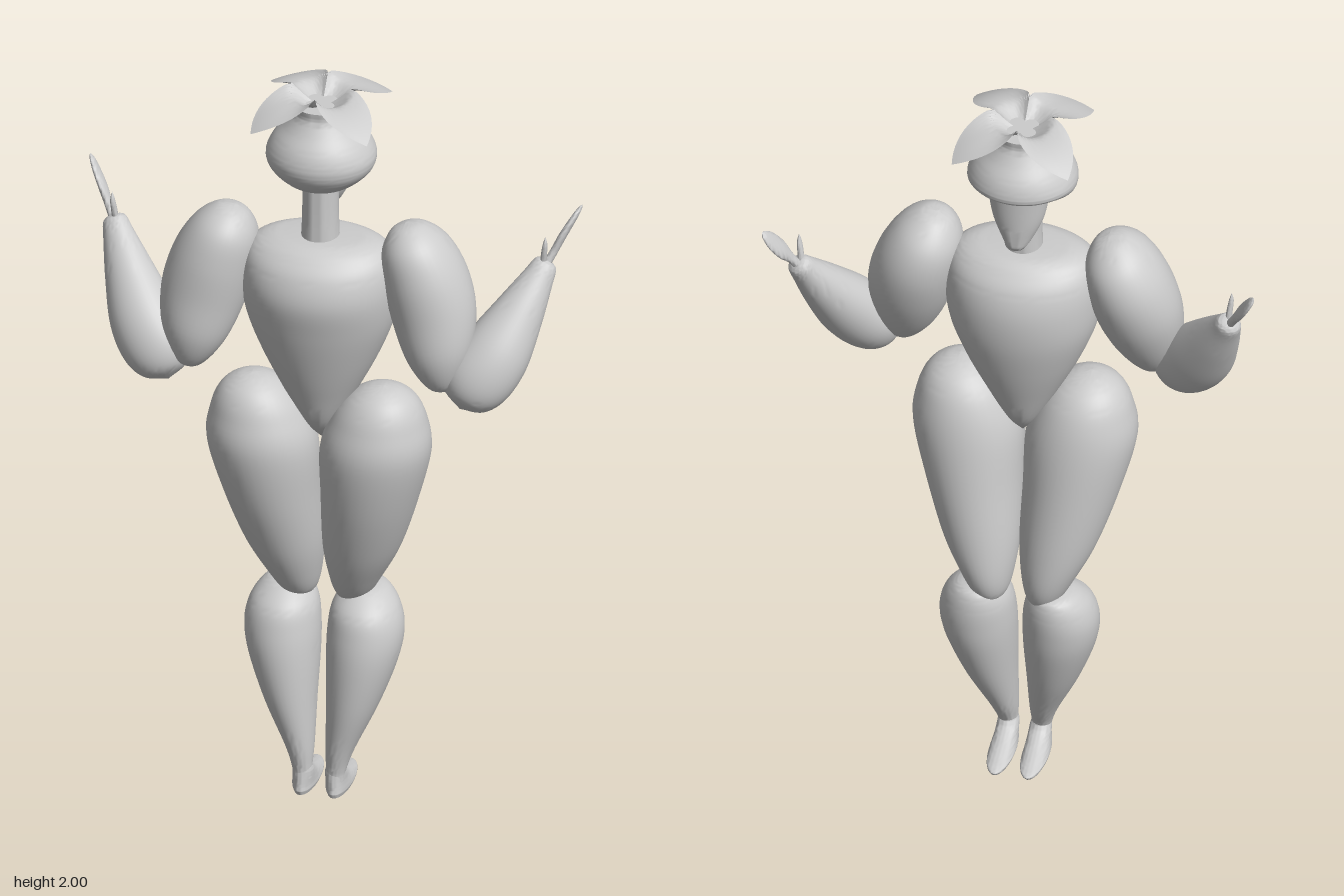
import * as THREE from 'three';
import { toCreasedNormals } from 'three/addons/utils/BufferGeometryUtils.js';

const material = new THREE.MeshStandardMaterial({ color: 0xcccccc });
const thin = new THREE.MeshStandardMaterial({ color: 0xcccccc, side: THREE.DoubleSide });

// Smooth loft through rows [x, y, z, radiusA, radiusB], listed from bottom to top.
// The rings are ellipses perpendicular to axis; side = -1 mirrors the part in x.
function loft(rows, { axis = [0, 1, 0], side = 1, seg = 36, steps = 6, warp = null } = {}) {
  const centres = new THREE.CatmullRomCurve3(
    rows.map(([x, y, z]) => new THREE.Vector3(x * side, y, z)), false, 'catmullrom');
  const radii = new THREE.CatmullRomCurve3(
    rows.map(r => new THREE.Vector3(r[3], r[4], 0)), false, 'catmullrom');
  const dir = new THREE.Vector3(axis[0] * side, axis[1], axis[2]).normalize();
  const turn = new THREE.Quaternion().setFromUnitVectors(new THREE.Vector3(0, 1, 0), dir);

  const rings = [];
  const n = (rows.length - 1) * steps;
  for (let i = 0; i <= n; i++) {
    const r = radii.getPoint(i / n);
    rings.push([centres.getPoint(i / n), Math.max(r.x, 0), Math.max(r.y, 0)]);
  }
  // close both ends
  rings.unshift([rings[0][0], 0, 0]);
  rings.push([rings[rings.length - 1][0], 0, 0]);

  const pos = [], index = [], p = new THREE.Vector3();
  rings.forEach(([c, a, b], i) => {
    for (let j = 0; j < seg; j++) {
      const t = (j / seg) * Math.PI * 2;
      p.set(Math.cos(t) * a, 0, Math.sin(t) * b).applyQuaternion(turn).add(c);
      if (warp) warp(p);
      pos.push(p.x, p.y, p.z);
      if (i === rings.length - 1) continue;
      const k = (j + 1) % seg, q = i * seg, up = q + seg;
      if (rings[i][1] > 0) index.push(q + j, up + j, q + k);
      if (rings[i + 1][1] > 0) index.push(q + k, up + j, up + k);
    }
  });
  const geo = new THREE.BufferGeometry();
  geo.setAttribute('position', new THREE.Float32BufferAttribute(pos, 3));
  geo.setIndex(index);
  return toCreasedNormals(geo, 0.9);
}

// Four-petalled crown: a polar surface that droops towards the diagonal tips
function crownGeometry() {
  const seg = 96, rows = 16, pos = [], index = [];
  for (let i = 0; i <= rows; i++) {
    for (let j = 0; j < seg; j++) {
      const a = (j / seg) * Math.PI * 2;
      const w = Math.asin(Math.abs(Math.sin(2 * a))) / (Math.PI / 2);
      const r = (0.075 + 0.137 * Math.pow(w, 0.85)) * i / rows;
      const bowl = r < 0.08 ? 1.94 + 0.037 * Math.pow(r / 0.08, 1.5)
        : 1.977 - 3.1 * (r - 0.08) ** 2;
      const crest = 0.026 * Math.pow(1 - w, 3) * Math.min(1, r / 0.075);
      pos.push(r * Math.cos(a), bowl + crest, r * Math.sin(a));
      if (i === rows) continue;
      const k = (j + 1) % seg, q = i * seg, o = q + seg;
      if (i > 0) index.push(q + j, q + k, o + j);
      index.push(q + k, o + k, o + j);
    }
  }
  const geo = new THREE.BufferGeometry();
  geo.setAttribute('position', new THREE.Float32BufferAttribute(pos, 3));
  geo.setIndex(index);
  return toCreasedNormals(geo, 0.9);
}

export function createModel() {
  const model = new THREE.Group();
  model.name = 'figure';
  const add = (name, geo, mat = material, parent = model) => {
    const mesh = new THREE.Mesh(geo, mat);
    mesh.name = name;
    parent.add(mesh);
  };

  // Torso tapering to the waist
  add('torso', loft([
    [0, 1.0, 0, 0, 0], [0, 1.06, 0.005, 0.045, 0.055], [0, 1.16, 0.005, 0.1, 0.097],
    [0, 1.26, 0.005, 0.15, 0.13], [0, 1.36, 0.007, 0.188, 0.155], [0, 1.45, 0.013, 0.2, 0.165],
    [0, 1.52, 0.013, 0.195, 0.148], [0, 1.562, 0.012, 0.172, 0.115],
    [0, 1.582, 0.01, 0.13, 0.085], [0, 1.587, 0.01, 0.08, 0.06],
  ], { seg: 48 }));

  // Neck, face and rounded hair whose rim lifts over the face
  add('neck', loft([
    [0, 1.55, 0.012, 0.05, 0.055], [0, 1.65, 0.01, 0.046, 0.055], [0, 1.78, 0.01, 0.046, 0.055],
  ]));
  add('face', loft([
    [0, 1.623, -0.075, 0, 0], [0, 1.635, -0.073, 0.022, 0.022], [0, 1.67, -0.058, 0.045, 0.042],
    [0, 1.72, -0.05, 0.066, 0.053], [0, 1.79, -0.045, 0.08, 0.06],
  ]));
  add('hair', loft([
    [0, 1.725, 0.01, 0, 0], [0, 1.733, 0.008, 0.065, 0.065], [0, 1.752, 0.003, 0.103, 0.1],
    [0, 1.785, 0, 0.134, 0.127], [0, 1.82, 0, 0.14, 0.133], [0, 1.86, 0, 0.122, 0.12],
    [0, 1.9, 0, 0.09, 0.09], [0, 1.93, 0, 0.072, 0.072], [0, 1.955, 0, 0.073, 0.073],
  ], {
    seg: 48,
    warp: p => {
      const front = THREE.MathUtils.smoothstep(-p.z, -0.02, 0.1);
      if (p.y < 1.82) p.y += (1.82 - p.y) * 0.5 * front;
    },
  }));
  add('petalCrown', crownGeometry(), thin);

  // Paired limbs
  for (const side of [1, -1]) {
    const label = side > 0 ? 'left' : 'right';
    const arm = new THREE.Group(), leg = new THREE.Group();
    arm.name = label + 'Arm';
    leg.name = label + 'Leg';
    model.add(arm, leg);

    add('upperArm', loft([
      [0.335, 1.2, 0.07, 0, 0], [0.33, 1.225, 0.068, 0.042, 0.045], [0.318, 1.3, 0.055, 0.085, 0.085],
      [0.298, 1.4, 0.03, 0.108, 0.108], [0.27, 1.5, 0.015, 0.106, 0.117],
      [0.242, 1.58, 0.01, 0.085, 0.1], [0.225, 1.63, 0.01, 0.045, 0.05], [0.22, 1.645, 0.01, 0, 0],
    ], { axis: [-0.12, 0.42, -0.05], side }), material, arm);

    add('forearm', loft([
      [0.375, 1.165, 0.085, 0, 0], [0.385, 1.187, 0.08, 0.058, 0.05], [0.41, 1.235, 0.058, 0.09, 0.075],
      [0.455, 1.305, 0.02, 0.088, 0.078], [0.503, 1.395, -0.035, 0.064, 0.06],
      [0.54, 1.47, -0.08, 0.041, 0.038], [0.555, 1.502, -0.1, 0.031, 0.028],
      [0.559, 1.511, -0.105, 0.018, 0.017],
    ], { axis: [0.17, 0.32, -0.18], side }), material, arm);

    // Flat leaf-like hand with a thumb
    add('hand', loft([
      [0.55, 1.49, -0.096, 0.012, 0.013], [0.572, 1.53, -0.115, 0.01, 0.014],
      [0.592, 1.57, -0.136, 0.01, 0.026], [0.615, 1.61, -0.157, 0.008, 0.024],
      [0.629, 1.634, -0.17, 0.005, 0.012], [0.634, 1.643, -0.174, 0, 0],
    ], { axis: [0.08, 0.15, -0.075], side, seg: 20 }), material, arm);
    add('thumb', loft([
      [0.55, 1.49, -0.096, 0.009, 0.009], [0.553, 1.53, -0.09, 0.008, 0.011],
      [0.557, 1.565, -0.086, 0.006, 0.009], [0.558, 1.588, -0.086, 0, 0],
    ], { side, seg: 14 }), material, arm);

    add('thigh', loft([
      [0.07, 0.52, -0.065, 0.02, 0.03], [0.07, 0.54, -0.062, 0.045, 0.06],
      [0.08, 0.6, -0.05, 0.07, 0.09], [0.1, 0.7, -0.026, 0.1, 0.115],
      [0.126, 0.85, 0.005, 0.124, 0.134], [0.146, 1.0, 0.027, 0.141, 0.138],
      [0.156, 1.09, 0.03, 0.12, 0.118], [0.163, 1.145, 0.033, 0.088, 0.088],
      [0.166, 1.176, 0.036, 0.045, 0.045], [0.167, 1.187, 0.038, 0, 0],
    ], { side }), material, leg);

    add('calf', loft([
      [0.042, 0.04, 0.028, 0.025, 0.026], [0.044, 0.07, 0.026, 0.026, 0.029],
      [0.053, 0.13, 0.015, 0.038, 0.049], [0.08, 0.25, -0.005, 0.067, 0.084],
      [0.1, 0.37, -0.024, 0.091, 0.105], [0.107, 0.45, -0.036, 0.097, 0.107],
      [0.105, 0.51, -0.047, 0.086, 0.097], [0.102, 0.55, -0.065, 0.058, 0.068],
      [0.1, 0.563, -0.07, 0.03, 0.037], [0.1, 0.568, -0.073, 0, 0],
    ], { side }), material, leg);

    add('foot', loft([
      [0.043, 0.0, -0.04, 0.03, 0.1], [0.043, 0.01, -0.04, 0.034, 0.104],
      [0.043, 0.022, -0.022, 0.032, 0.083], [0.042, 0.04, 0.003, 0.029, 0.055],
      [0.042, 0.062, 0.022, 0.027, 0.032], [0.043, 0.08, 0.025, 0.022, 0.026],
    ], { side }), material, leg);
  }
  return model;
}
